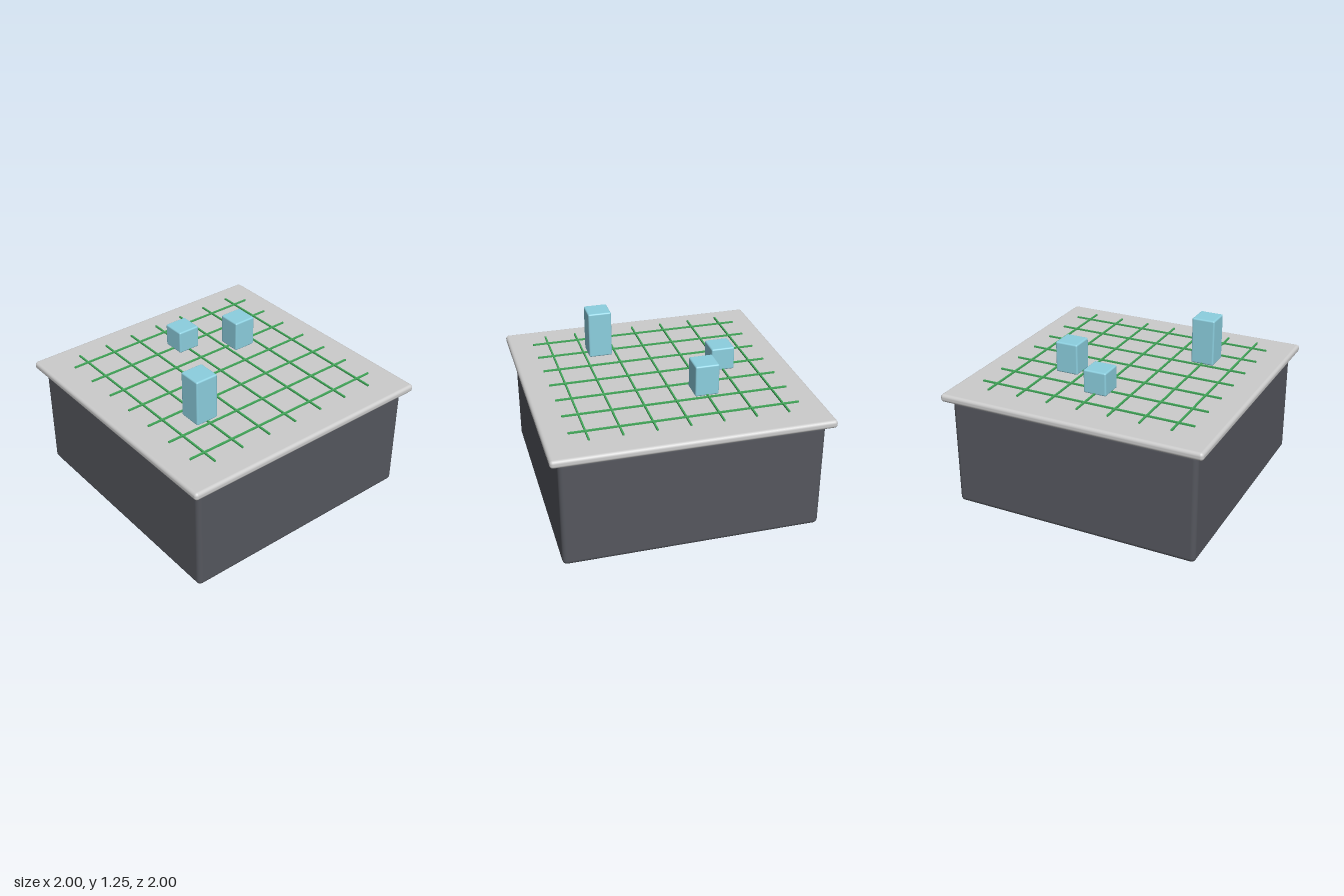
import * as THREE from 'three';
import { RoundedBoxGeometry } from 'three/addons/geometries/RoundedBoxGeometry.js';

const mat = (color) => new THREE.MeshStandardMaterial({ color });

// Rounded box standing on height y
function roundedBox(name, [w, h, d], radius, [x, y, z], material) {
  const mesh = new THREE.Mesh(new RoundedBoxGeometry(w, h, d, 4, radius), material);
  mesh.name = name;
  mesh.position.set(x, y + h / 2, z);
  return mesh;
}

export function createModel() {
  const model = new THREE.Group();
  model.name = 'gridTable';

  // Dark body and overhanging top plate
  model.add(roundedBox('base', [1.882, 0.824, 1.882], 0.035, [0, 0, 0], mat(0x55575e)));
  model.add(roundedBox('topPlate', [2, 0.059, 2], 0.024, [0, 0.824, 0], mat(0xcccccc)));

  // Seven thin bars each way, hovering just above the plate
  const step = 0.2353, length = 1.647, thick = 0.012, gridY = 0.9;
  const grid = new THREE.Group();
  grid.name = 'grid';
  const green = mat(0x44aa5c);
  const barGeometry = new THREE.BoxGeometry(length, thick, thick);
  for (let i = -3; i <= 3; i++) {
    const across = new THREE.Mesh(barGeometry, green);
    across.name = 'gridBarAcross';
    across.position.set(0, gridY + thick / 2, i * step);
    const along = new THREE.Mesh(barGeometry, green);
    along.name = 'gridBarAlong';
    along.rotation.y = Math.PI / 2;
    along.position.set(i * step, gridY + thick / 2, 0);
    grid.add(across, along);
  }
  model.add(grid);

  // Blocks standing on the grid: x, z, height
  const blue = mat(0x8ccfdf);
  const blocks = [
    ['tallBlock', -0.47, 0.353, 0.353],
    ['shortBlock', 0, -0.47, 0.176],
    ['mediumBlock', 0.353, -0.235, 0.235],
  ];
  for (const [name, x, z, h] of blocks) {
    model.add(roundedBox(name, [0.176, h, 0.176], 0.012, [x, gridY, z], blue));
  }

  return model;
}
